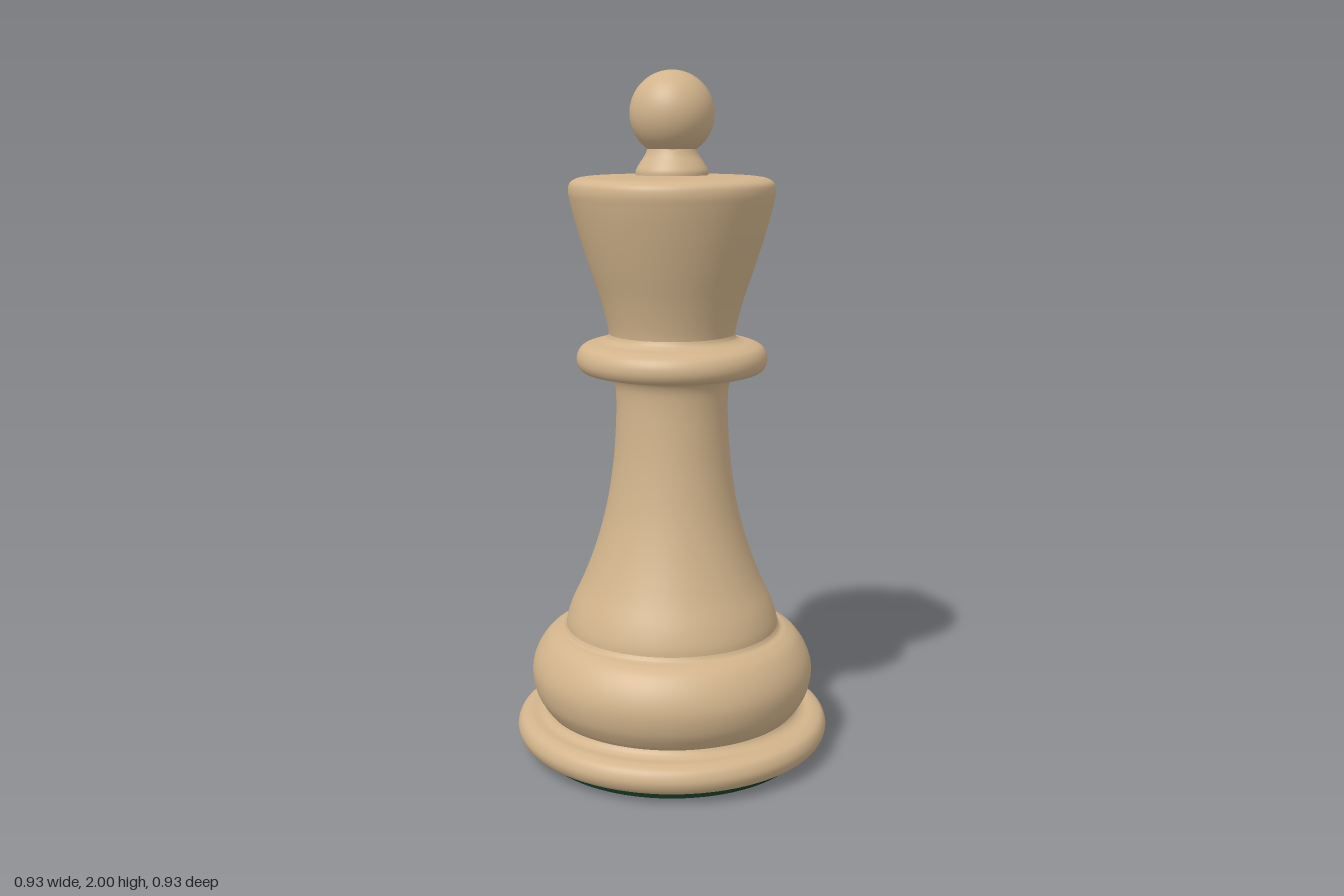
import * as THREE from 'three';

const SEGMENTS = 96;

// Smooth curve through [radius, height] points, listed from bottom to top
function smooth(points, divisions) {
  const curve = new THREE.CatmullRomCurve3(
    points.map(([r, y]) => new THREE.Vector3(r, y, 0)), false, 'centripetal');
  return curve.getPoints(divisions).map((p) => new THREE.Vector2(Math.max(p.x, 0), p.y));
}

function turned(name, profile, material) {
  const mesh = new THREE.Mesh(new THREE.LatheGeometry(profile, SEGMENTS), material);
  mesh.name = name;
  return mesh;
}

export function createModel() {
  const group = new THREE.Group();
  group.name = 'chessPiece';
  const wood = new THREE.MeshStandardMaterial({ color: 0xd2b48c });
  const felt = new THREE.MeshStandardMaterial({ color: 0x14301f });

  // Felt pad under the base
  const pad = new THREE.Mesh(new THREE.CylinderGeometry(0.4, 0.4, 0.03, SEGMENTS), felt);
  pad.name = 'feltPad';
  pad.position.y = 0.015;
  group.add(pad);

  // Foot: flat underside and a rounded rim
  group.add(turned('foot', [
    new THREE.Vector2(0, 0.026),
    new THREE.Vector2(0.41, 0.026),
    ...smooth([[0.43, 0.027], [0.455, 0.042], [0.467, 0.072], [0.456, 0.102], [0.43, 0.115],
      [0.40, 0.117], [0.385, 0.125], [0.375, 0.14]], 40),
  ], wood));

  // Bulging ring above the foot
  group.add(turned('baseBulge', smooth([
    [0.375, 0.13], [0.39, 0.15], [0.411, 0.19], [0.42, 0.25], [0.407, 0.30], [0.375, 0.347],
    [0.345, 0.367], [0.325, 0.374], [0.315, 0.388]], 48), wood));

  // Stem, flaring under the collar
  group.add(turned('stem', smooth([
    [0.318, 0.375], [0.314, 0.405], [0.299, 0.45], [0.262, 0.53], [0.225, 0.63], [0.195, 0.74],
    [0.175, 0.86], [0.166, 0.96], [0.163, 1.07], [0.168, 1.115], [0.18, 1.137], [0.20, 1.147],
    [0.22, 1.149]], 64), wood));

  // Collar
  group.add(turned('collar', smooth([
    [0.17, 1.148], [0.235, 1.147], [0.262, 1.153], [0.275, 1.173], [0.275, 1.198], [0.262, 1.22],
    [0.235, 1.232], [0.205, 1.238], [0.188, 1.248], [0.18, 1.265]], 48), wood));

  // Flared head with a rounded top edge
  group.add(turned('head', [
    ...smooth([[0.18, 1.24], [0.186, 1.28], [0.207, 1.36], [0.237, 1.45], [0.268, 1.55],
      [0.289, 1.63], [0.295, 1.665], [0.29, 1.688], [0.272, 1.70], [0.245, 1.705]], 56),
    new THREE.Vector2(0.1, 1.71),
    new THREE.Vector2(0, 1.71),
  ], wood));

  // Finial neck and ball
  group.add(turned('finialNeck', smooth([
    [0.104, 1.705], [0.103, 1.722], [0.092, 1.742], [0.077, 1.765], [0.069, 1.785],
    [0.067, 1.80]], 24), wood));

  const ball = new THREE.Mesh(new THREE.SphereGeometry(0.12, 64, 40), wood);
  ball.name = 'finialBall';
  ball.position.y = 1.88;
  group.add(ball);

  return group;
}
